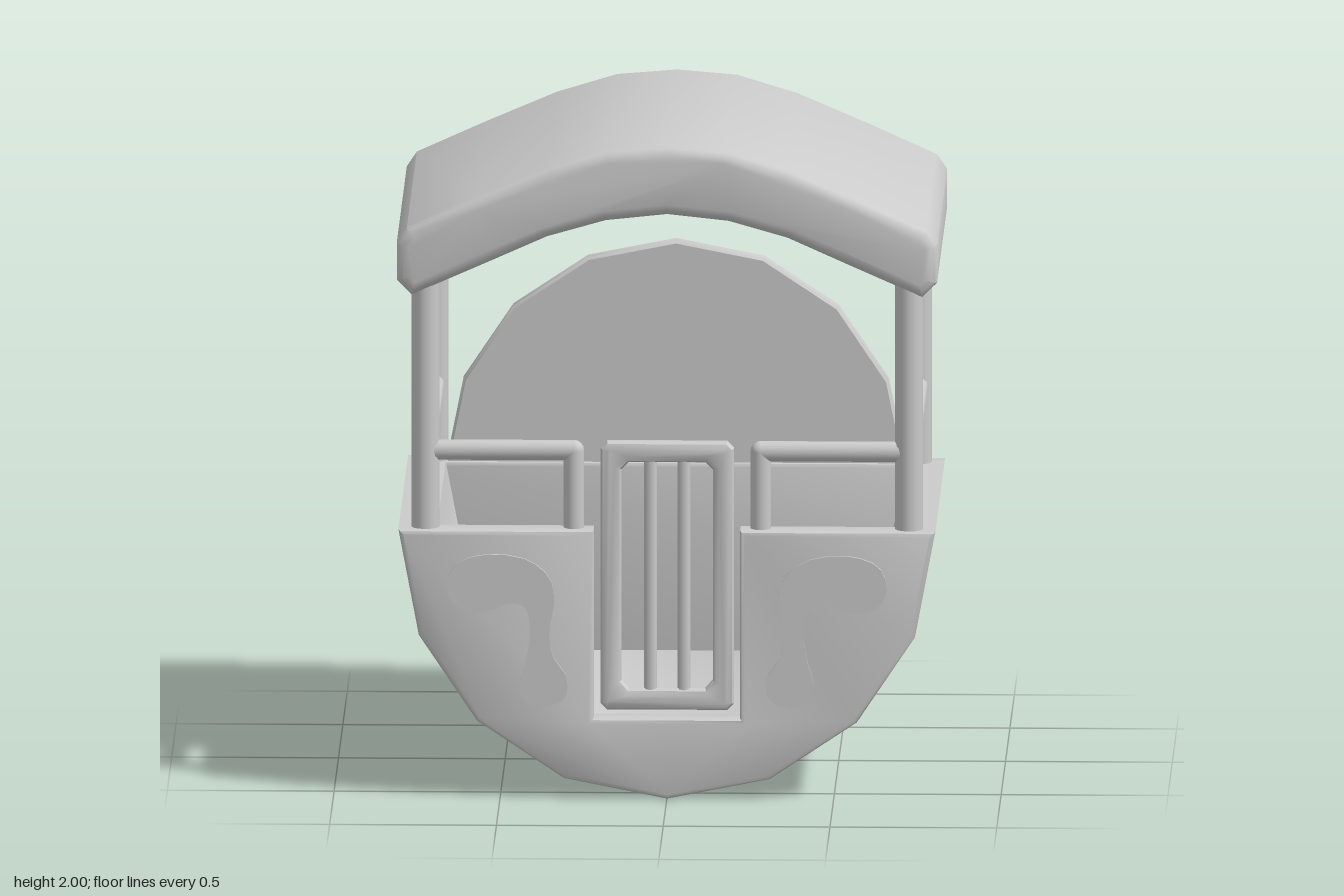
import * as THREE from 'three';
import { toCreasedNormals } from 'three/addons/utils/BufferGeometryUtils.js';

const grey = new THREE.MeshStandardMaterial({ color: 0xcccccc });
const HULL_Y = 0.81, RIM = 0.825, FRONT = 0.6, BACK = -0.54, WALL = 0.1, FLOOR = 0.25;
const POST_X = 0.725, POST_FRONT = 0.54, POST_BACK = -0.47;

function add(parent, name, geometry) {
  const mesh = new THREE.Mesh(geometry, grey);
  mesh.name = name;
  parent.add(mesh);
  return mesh;
}

const toShape = pts => new THREE.Shape(pts.map(([x, y]) => new THREE.Vector2(x, y)));
const mirrored = half => [...half, ...half.map(([x, y]) => [-x, y]).reverse().filter(([x]) => x !== 0)];

// Extrude a shape between two z planes; the bevel stays inside the outline
function slab(shape, z0, z1, bevel = 0, segments = 2) {
  const g = new THREE.ExtrudeGeometry(shape, {
    depth: z1 - z0 - 2 * bevel, bevelEnabled: bevel > 0, bevelSize: bevel,
    bevelThickness: bevel, bevelOffset: -bevel, bevelSegments: segments, curveSegments: 6,
  });
  g.translate(0, 0, z0 + bevel);
  return toCreasedNormals(g, 0.6);
}

// Round bar between two points
function bar(parent, name, a, b, radius, sides = 12) {
  const from = new THREE.Vector3(...a), to = new THREE.Vector3(...b);
  const dir = to.clone().sub(from);
  const mesh = add(parent, name, new THREE.CylinderGeometry(radius, radius, dir.length(), sides));
  mesh.position.copy(from).addScaledVector(dir, 0.5);
  mesh.quaternion.setFromUnitVectors(new THREE.Vector3(0, 1, 0), dir.normalize());
  return mesh;
}

// Quarter of a 16-sided circle, from the side (x = r) to the top or bottom (x = 0)
function quarter(r, sign) {
  const pts = [];
  for (let i = 0; i <= 4; i++) {
    const a = i * Math.PI / 8;
    pts.push([i === 4 ? 0 : r * Math.cos(a), HULL_Y + sign * r * Math.sin(a)]);
  }
  return pts;
}

function buildHull() {
  const hull = new THREE.Group();
  hull.name = 'hull';
  const outer = mirrored([[0.805, RIM], ...quarter(0.805, -1).slice(1)]);

  // Curved trough with a flat floor
  const inner = mirrored([[0.69, RIM], [0.637, 0.546], [0.488, 0.322], [0.38, FLOOR]]).reverse();
  add(hull, 'trough', slab(toShape([...outer, ...inner]), BACK + 0.015, FRONT - 0.015));

  // Closed back wall and front wall with the door opening
  add(hull, 'backWall', slab(toShape(outer), BACK, BACK + WALL, 0.015));
  const door = [[-0.22, RIM], [-0.22, FLOOR], [0.22, FLOOR], [0.22, RIM]];
  add(hull, 'frontWall', slab(toShape([...outer, ...door]), FRONT - WALL, FRONT, 0.015));

  // Round back panel above the rim
  const panel = mirrored(quarter(0.69, 1));
  add(hull, 'backPanel', slab(toShape(panel), -0.505, -0.45, 0.008, 1));

  // Side benches
  for (const s of [-1, 1]) {
    const seat = add(hull, 'bench', new THREE.BoxGeometry(0.36, 0.08, 0.98));
    seat.position.set(s * 0.47, 0.535, 0.03);
  }
  return hull;
}

function buildRoof() {
  const top = [[0, 2], [0.18, 1.985], [0.36, 1.93], [0.57, 1.84], [0.78, 1.745], [0.81, 1.70]];
  const under = [[0.81, 1.585], [0.765, 1.54], [0.55, 1.635], [0.36, 1.72], [0.185, 1.77], [0, 1.79]];
  const right = [...top, ...under];
  const left = right.slice(1, -1).map(([x, y]) => [-x, y]).reverse();
  const g = slab(toShape([...right, ...left]), -0.605, 0.605, 0.035, 3);
  const group = new THREE.Group();
  add(group, 'roof', g);
  group.name = 'canopy';
  return group;
}

function buildRailings() {
  const rails = new THREE.Group();
  rails.name = 'railings';
  const y = 1.06, r = 0.031;
  for (const s of [-1, 1]) {
    const x = s * POST_X;
    bar(rails, 'frontPost', [x, 0.78, POST_FRONT], [x, 1.65, POST_FRONT], 0.042);
    bar(rails, 'backPost', [x, 0.78, POST_BACK], [x, 1.65, POST_BACK], 0.042);
    bar(rails, 'sideRail', [x, y, POST_BACK], [x, y, POST_FRONT], r);
    // Front handrail turning down beside the door
    bar(rails, 'frontRail', [x, y, POST_FRONT], [s * 0.28, y, POST_FRONT], r);
    bar(rails, 'frontRailLeg', [s * 0.28, y, POST_FRONT], [s * 0.28, 0.78, POST_FRONT], r);
    const elbow = add(rails, 'railElbow', new THREE.SphereGeometry(r, 12, 8));
    elbow.position.set(s * 0.28, y, POST_FRONT);
  }
  return rails;
}

function buildGate() {
  const gate = new THREE.Group();
  gate.name = 'gate';
  const frame = toShape([[-0.2, 0.29], [-0.18, 0.27], [0.18, 0.27], [0.2, 0.29],
    [0.2, 1.07], [0.18, 1.09], [-0.18, 1.09], [-0.2, 1.07]]);
  frame.holes.push(new THREE.Path([[-0.137, 0.36], [-0.137, 1.005], [-0.115, 1.027], [0.115, 1.027],
    [0.137, 1.005], [0.137, 0.36], [0.115, 0.335], [-0.115, 0.335]].map(p => new THREE.Vector2(...p))));
  add(gate, 'gateFrame', slab(frame, 0.51, 0.57, 0.02));
  for (const x of [-0.05, 0.05]) bar(gate, 'gateBar', [x, 0.31, 0.54], [x, 1.05, 0.54], 0.02, 8);
  return gate;
}

function buildOrnaments() {
  const group = new THREE.Group();
  group.name = 'ornaments';
  const outline = [[0.66, 0.66], [0.635, 0.72], [0.55, 0.752], [0.42, 0.738], [0.35, 0.68], [0.338, 0.6],
    [0.352, 0.52], [0.34, 0.44], [0.30, 0.38], [0.305, 0.315], [0.36, 0.29], [0.42, 0.305],
    [0.442, 0.35], [0.422, 0.43], [0.41, 0.52], [0.425, 0.59], [0.47, 0.605], [0.53, 0.582],
    [0.6, 0.58], [0.645, 0.61]];
  for (const s of [-1, 1]) {
    const curve = new THREE.CatmullRomCurve3(outline.map(([x, y]) => new THREE.Vector3(s * x, y, 0)), true);
    const pts = curve.getPoints(48).slice(0, -1).map(p => [p.x, p.y]);
    add(group, 'ornament', slab(toShape(pts), 0.58, 0.609));
  }
  return group;
}

export function createModel() {
  const model = new THREE.Group();
  model.name = 'gondolaCabin';
  model.add(buildHull(), buildRoof(), buildRailings(), buildGate(), buildOrnaments());
  return model;
}
